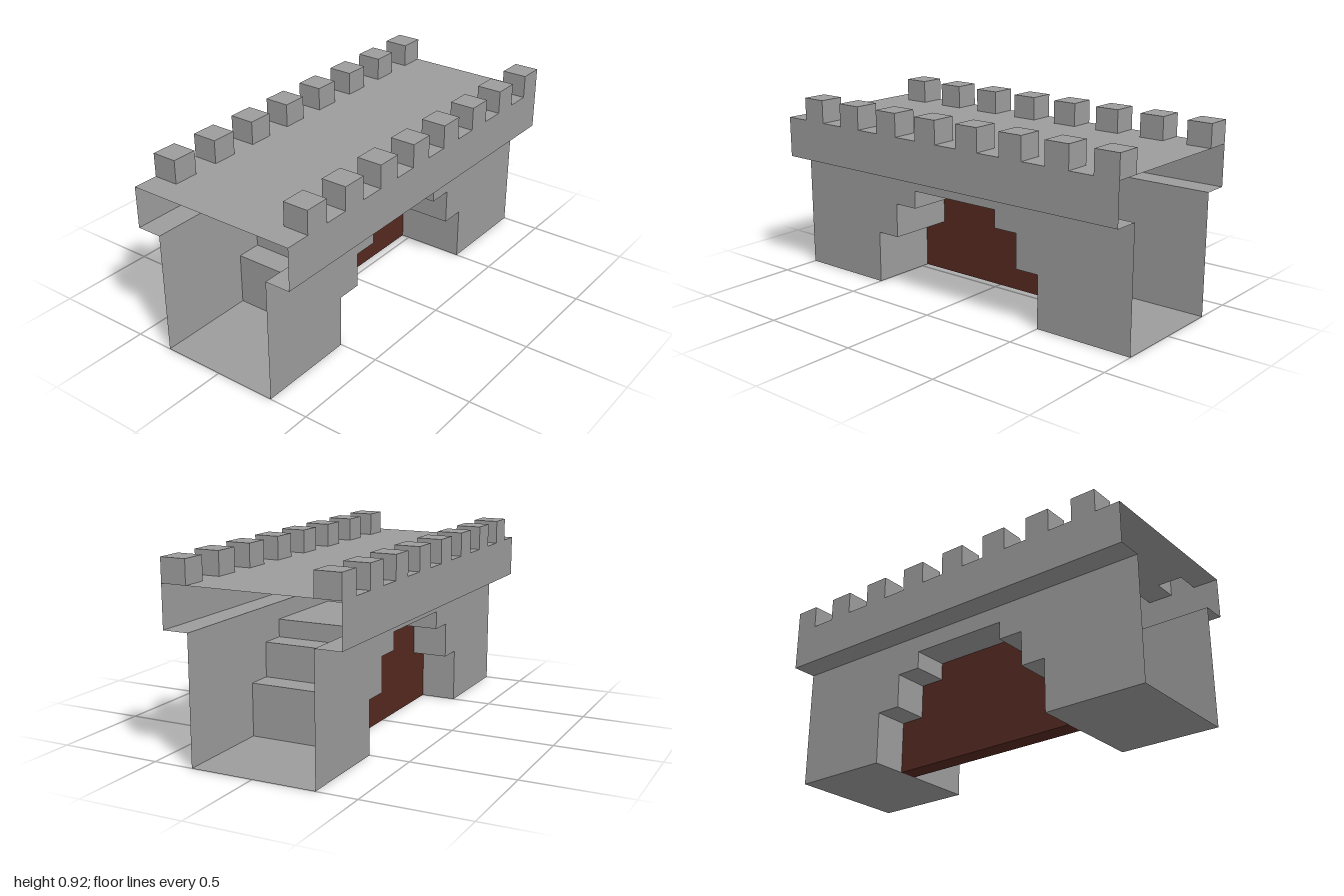
import * as THREE from 'three';

const WALL = 0.305, EDGE = 0.43;          // half depths of the lower walls and the deck
const DECK_LOW = 0.6, DECK_TOP = 0.803, MERLON_TOP = 0.917;
const DOOR_BACK = -0.13, DOOR_FRONT = -0.04;

export function createModel() {
  const model = new THREE.Group();
  const stone = new THREE.MeshStandardMaterial({ color: 0x9c9c9c, flatShading: true, side: THREE.DoubleSide });
  const wood = new THREE.MeshStandardMaterial({ color: 0x552920, flatShading: true, side: THREE.DoubleSide });

  const add = (name, geometry, material = stone) => {
    const mesh = new THREE.Mesh(geometry, material);
    mesh.name = name;
    model.add(mesh);
    return mesh;
  };
  // Flat shape standing at depth z, turned to face outward
  const upright = (name, shape, z, facing, material) => {
    const mesh = add(name, new THREE.ShapeGeometry(shape), material);
    if (facing < 0) mesh.rotation.y = Math.PI;   // the outlines are symmetric in x
    mesh.position.z = z;
  };
  // Rectangle lying flat, facing up (1) or down (-1)
  const flat = (name, x0, x1, y, z0, z1, facing, material) => {
    const mesh = add(name, new THREE.PlaneGeometry(x1 - x0, z1 - z0), material);
    mesh.rotation.x = -facing * Math.PI / 2;
    mesh.position.set((x0 + x1) / 2, y, (z0 + z1) / 2);
  };

  // Stepped arch outline, left foot to right foot
  const half = [[0.5, 0], [0.5, 0.259], [0.375, 0.259], [0.375, 0.429], [0.25, 0.429], [0.25, 0.516]];
  const arch = [...half.map(([x, y]) => [-x, y]), ...half.slice().reverse()];
  const toShape = (pts) => new THREE.Shape(pts.map(([x, y]) => new THREE.Vector2(x, y)));

  // Front and back walls with the stepped opening
  const wallShape = toShape([[-1, 0], ...arch, [1, 0], [1, DECK_LOW], [-1, DECK_LOW]]);
  upright('frontWall', wallShape, WALL, 1);
  upright('backWall', wallShape, -WALL, -1);

  // Lining of the passage: one strip per step
  for (let i = 0; i < arch.length - 1; i++) {
    const [x0, y0] = arch[i], [x1, y1] = arch[i + 1];
    if (y0 === y1) {
      flat('archCeiling', x0, x1, y0, -WALL, WALL, -1);
    } else {
      const jamb = add('archJamb', new THREE.PlaneGeometry(2 * WALL, Math.abs(y1 - y0)));
      jamb.rotation.y = -Math.sign(x0) * Math.PI / 2;
      jamb.position.set(x0, (y0 + y1) / 2, 0);
    }
  }

  // Door filling the passage
  const doorShape = toShape(arch);
  upright('doorFront', doorShape, DOOR_FRONT, 1, wood);
  upright('doorBack', doorShape, DOOR_BACK, -1, wood);
  flat('doorBottom', -0.5, 0.5, 0, DOOR_BACK, DOOR_FRONT, -1, wood);

  for (const s of [-1, 1]) {
    // Pillar undersides
    flat('pillarBase', s > 0 ? 0.5 : -1, s > 0 ? 1 : -0.5, 0, -WALL, WALL, -1);
    // Overhanging parapet band and its underside
    flat('overhang', -1, 1, DECK_LOW, s > 0 ? WALL : -EDGE, s > 0 ? EDGE : -WALL, -1);
    const band = add('parapetBand', new THREE.PlaneGeometry(2, DECK_TOP - DECK_LOW));
    band.rotation.y = s > 0 ? 0 : Math.PI;
    band.position.set(0, (DECK_TOP + DECK_LOW) / 2, s * EDGE);
  }

  // Deck: flat top, notched where the hollow merlons rise
  const comb = (z) => {
    const pts = [[-1, z]];
    for (let i = 0; i < 8; i++) {
      const x = -0.875 + i * 0.25, inner = Math.sign(z) * WALL;
      pts.push([x, z], [x, inner], [x + 0.125, inner]);
      if (i < 7) pts.push([x + 0.125, z]);
    }
    return pts;
  };
  const deck = add('deck', new THREE.ShapeGeometry(toShape([...comb(-EDGE), ...comb(EDGE).reverse()])));
  deck.rotation.x = -Math.PI / 2;
  deck.position.y = DECK_TOP;

  // Merlons: boxes without a bottom
  const height = MERLON_TOP - DECK_TOP;
  const merlon = new THREE.BoxGeometry(0.125, height, EDGE - WALL);
  const index = Array.from(merlon.index.array);
  index.splice(18, 6);
  merlon.setIndex(index);
  merlon.clearGroups();
  for (const s of [-1, 1]) {
    for (let i = 0; i < 8; i++) {
      add('merlon', merlon).position.set(-0.8125 + i * 0.25, DECK_TOP + height / 2, s * (EDGE + WALL) / 2);
    }
  }
  return model;
}
